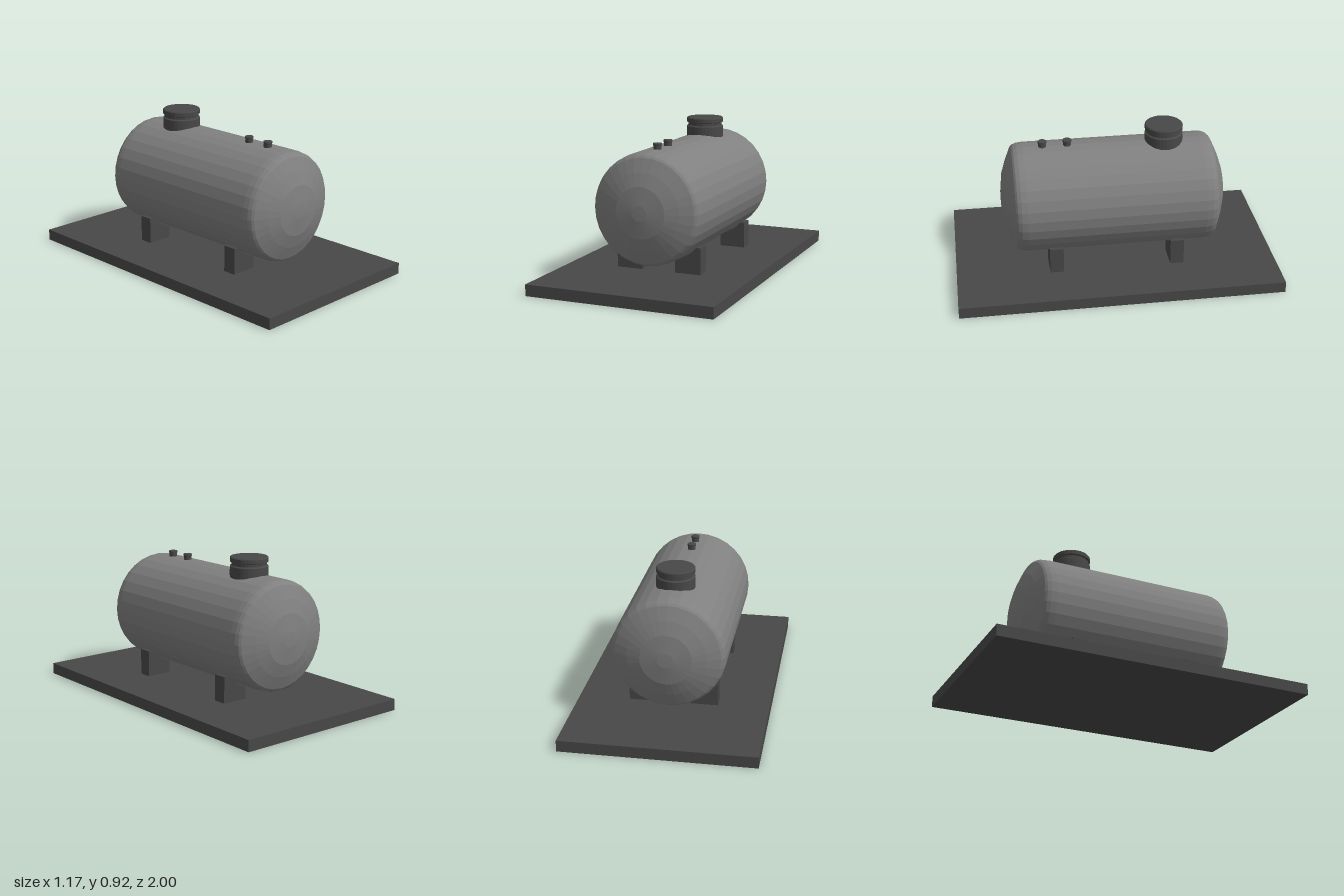
import * as THREE from 'three';

const shellMat = new THREE.MeshStandardMaterial({ color: 0x808080, flatShading: true });
const darkMat = new THREE.MeshStandardMaterial({ color: 0x484848, flatShading: true });

const AXIS_Y = 0.475; // height of the tank's axis
const RADIUS = 0.34;

function add(parent, name, geometry, material) {
  const mesh = new THREE.Mesh(geometry, material);
  mesh.name = name;
  parent.add(mesh);
  return mesh;
}

function lathe(points, sides) {
  return new THREE.LatheGeometry(points.map(([r, y]) => new THREE.Vector2(r, y)), sides);
}

export function createModel() {
  const model = new THREE.Group();
  model.name = 'storageTank';

  // Ground slab
  add(model, 'baseSlab', new THREE.BoxGeometry(1.17, 0.07, 2), darkMat).position.y = 0.035;

  // Horizontal vessel with rounded shoulders and shallow domed ends
  const half = [[0, 0.697], [0.046, 0.696], [0.155, 0.682], [0.235, 0.655], [0.315, 0.62],
    [0.327, 0.608], [0.336, 0.585], [RADIUS, 0.55]];
  const profile = [...half.map(([r, z]) => [r, -z]), ...half.slice().reverse()];
  const vessel = add(model, 'tankShell', lathe(profile, 32), shellMat);
  vessel.rotation.x = Math.PI / 2;
  vessel.position.y = AXIS_Y;

  // Four saddle blocks, hollowed to follow the vessel
  const inner = 0.107, outer = 0.273, top = 0.235, cut = 0.345, depth = 0.085;
  const a0 = -Math.acos(inner / cut);
  const a1 = Math.asin((top - AXIS_Y) / cut);
  for (const side of [-1, 1]) {
    const shape = new THREE.Shape();
    shape.moveTo(side * inner, 0.07);
    shape.lineTo(side * outer, 0.07);
    shape.lineTo(side * outer, top);
    for (let i = 0; i <= 6; i++) {
      const a = a1 + (a0 - a1) * i / 6;
      shape.lineTo(side * cut * Math.cos(a), AXIS_Y + cut * Math.sin(a));
    }
    shape.closePath();
    for (const z of [-0.377, 0.379]) {
      const geometry = new THREE.ExtrudeGeometry(shape, { depth, bevelEnabled: false });
      add(model, 'saddle', geometry, darkMat).position.z = z - depth / 2;
    }
  }

  // Manhole neck with a groove under its lid
  const manhole = [[0, 0.74], [0.117, 0.74], [0.117, 0.862], [0.108, 0.869], [0.108, 0.885],
    [0.117, 0.889], [0.117, 0.913], [0.112, 0.919], [0, 0.919]];
  add(model, 'manhole', lathe(manhole, 32), darkMat).position.z = -0.324;

  // Two small capped filler pipes
  const filler = [[0, 0.79], [0.024, 0.79], [0.024, 0.836], [0.027, 0.838], [0.027, 0.849],
    [0.025, 0.851], [0, 0.851]];
  for (const z of [0.275, 0.428]) {
    add(model, 'fillerPipe', lathe(filler, 16), darkMat).position.z = z;
  }

  return model;
}
